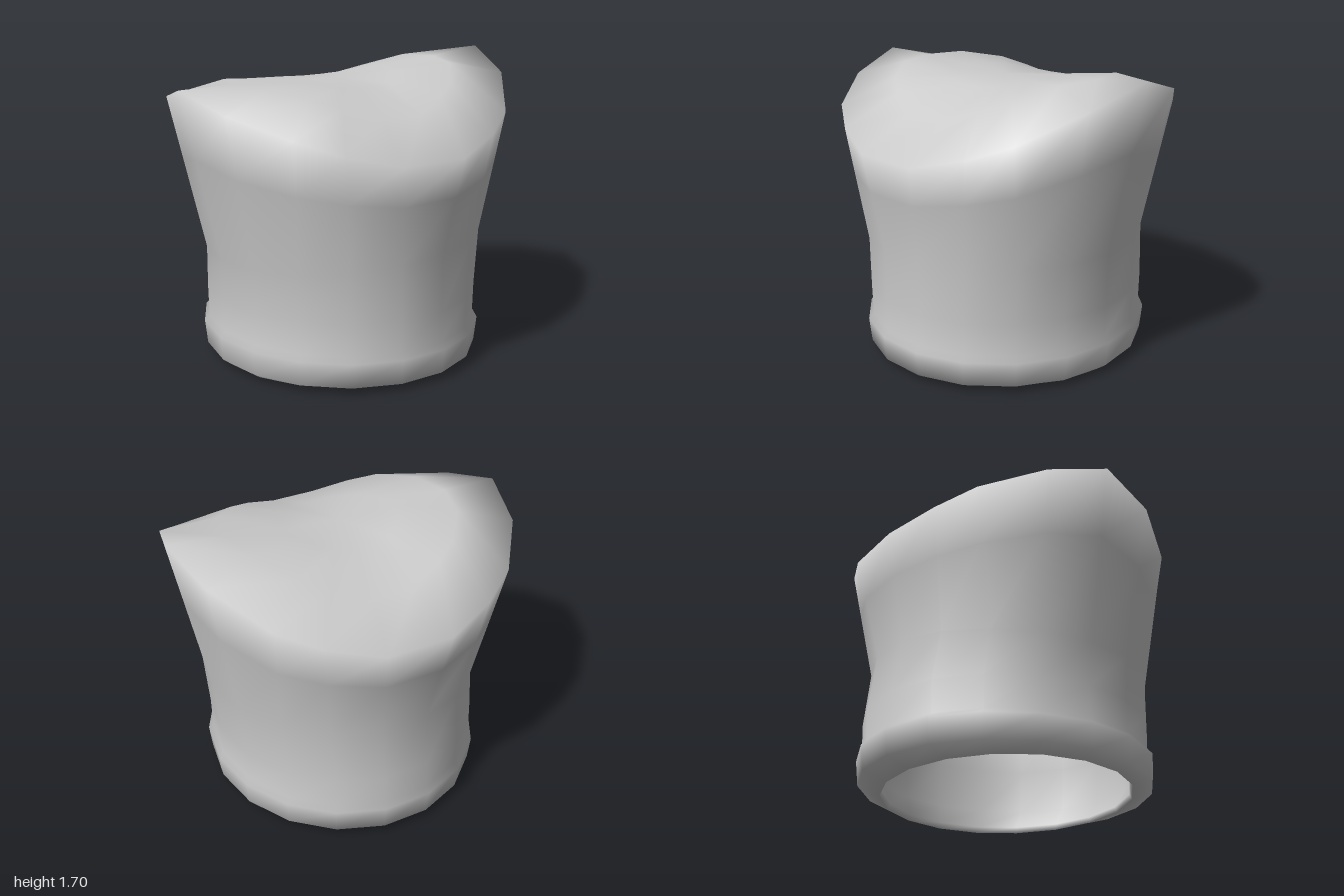
import * as THREE from 'three';
import { mergeVertices } from 'three/addons/utils/BufferGeometryUtils.js';

const SIDES = 18;

// Quarter outline of the flared crown edge, from the side corner to the middle
const EDGE_X = [1, 0.915, 0.69, 0.48, 0.19];
const EDGE_Z = [0, 0.34, 0.64, 0.78, 0.895];

// Visit the 18 columns: quarter index k, side signs sx and sz
function ring(fn) {
  return Array.from({ length: SIDES }, (_, j) => {
    const half = j % 9;
    const k = half <= 4 ? half : 9 - half;
    const sx = half <= 4 === j < 9 ? 1 : -1;
    const sz = j < 9 ? 1 : -1;
    return fn(k, sx, sz, (j / SIDES) * Math.PI * 2);
  });
}

// Oval ring of the body
const oval = (rx, rz, y, zShift = 0) =>
  ring((k, sx, sz, a) => new THREE.Vector3(Math.cos(a) * rx, y, Math.sin(a) * rz + zShift));

// Crown ring: scaled outline with separate heights on the left and right
const crown = (scale, leftY, rightY, tilt = 0) =>
  ring((k, sx, sz) => new THREE.Vector3(
    sx * EDGE_X[k] * scale,
    (sx > 0 ? leftY : rightY)[k] - sz * tilt * (k / 4),
    sz * EDGE_Z[k] * scale));

const blend = (a, b, t) => a.map((p, j) => p.clone().lerp(b[j], t));
const inset = (points, s, drop) =>
  points.map((p) => new THREE.Vector3(p.x * s, p.y - drop, p.z * s));
const pole = (y) => ring(() => new THREE.Vector3(0, y, 0));

// Join rings into one smooth skin
function loft(rings) {
  const pos = [];
  const index = [];
  rings.forEach((r) => r.forEach((p) => pos.push(p.x, p.y, p.z)));
  for (let i = 0; i < rings.length - 1; i++) {
    for (let j = 0; j < SIDES; j++) {
      const n = (j + 1) % SIDES;
      const a = i * SIDES + j, b = i * SIDES + n;
      const c = a + SIDES, d = b + SIDES;
      index.push(a, c, b, b, c, d);
    }
  }
  let geometry = new THREE.BufferGeometry();
  geometry.setAttribute('position', new THREE.Float32BufferAttribute(pos, 3));
  geometry.setIndex(index);
  geometry = mergeVertices(geometry, 1e-5);
  geometry.computeVertexNormals();
  return geometry;
}

export function createModel() {
  const group = new THREE.Group();
  group.name = 'hat';
  const cloth = new THREE.MeshStandardMaterial({ color: 0xcccccc });
  cloth.name = 'grey cloth';

  // Body and crown rings
  const lower = oval(0.775, 0.82, 0.4);
  const waist = oval(0.8, 0.795, 0.72, 0.02);
  waist.forEach((p) => { if (p.x < 0) { p.x *= 0.985; p.y += p.x * 0.1; } });
  const edge = crown(1, [1.7, 1.59, 1.43, 1.35, 1.28], [1.6, 1.51, 1.41, 1.34, 1.28], 0.02);
  const flare = blend(waist, edge, 0.6);
  const slope = crown(0.67, [1.66, 1.65, 1.575, 1.52, 1.45], [1.605, 1.6, 1.56, 1.51, 1.45]);
  const top = crown(0.33, [1.61, 1.61, 1.59, 1.575, 1.565], [1.595, 1.595, 1.585, 1.575, 1.565]);

  const outside = [
    oval(0.725, 0.69, 0),
    oval(0.785, 0.83, 0.045),
    oval(0.8, 0.845, 0.185),
    oval(0.772, 0.815, 0.215),
    lower, waist, flare, edge, slope, top, pole(1.59),
  ];

  // Lining, running from the middle of the crown down to the opening
  const lining = [
    pole(1.51),
    inset(top, 0.93, 0.08),
    inset(slope, 0.93, 0.08),
    inset(edge, 0.93, 0.08),
    inset(flare, 0.92, 0.04),
    inset(waist, 0.92, 0),
    inset(lower, 0.93, 0),
    oval(0.72, 0.75, 0.14),
    oval(0.7, 0.68, 0.03),
  ];

  const shell = new THREE.Mesh(loft([...lining, ...outside]), cloth);
  shell.name = 'hatShell';
  group.add(shell);
  return group;
}
